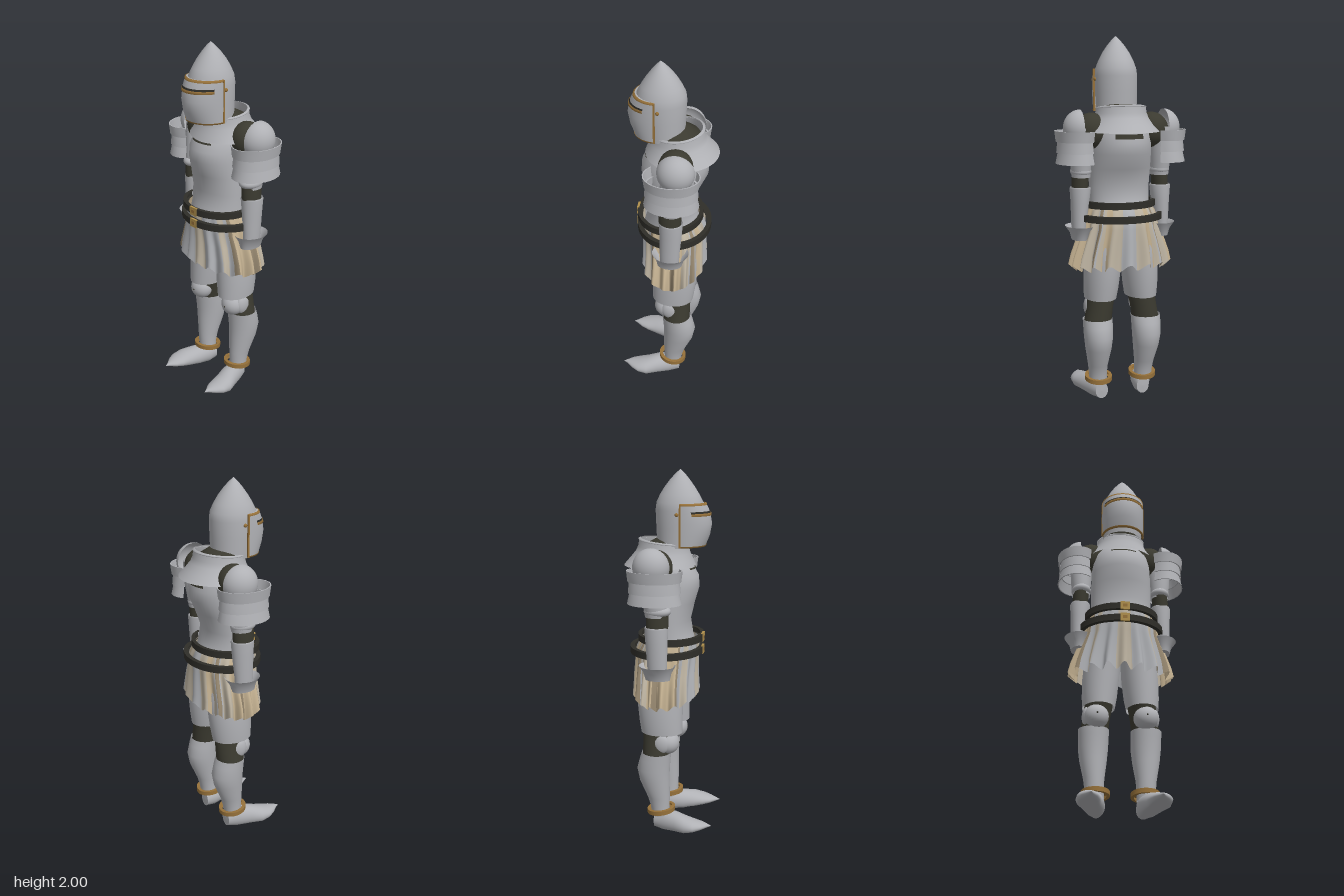
import * as THREE from 'three';

const RAD = Math.PI / 180;
const mat = (name, color) => {
  const m = new THREE.MeshStandardMaterial({ color, side: THREE.DoubleSide });
  m.name = name;
  return m;
};

// Skin over elliptical rings [y, cx, cz, rx, rz, tilt], listed bottom-up.
// Angle 0 faces front (+z), 90 faces +x. warp() may move a point, slot() picks a material group.
function loft(rings, { n = 36, from = 0, to = 360, warp, slot } = {}) {
  const pos = [], faces = [[], [], [], []];
  const closed = to - from === 360, cols = closed ? n : n + 1;
  rings.forEach(([y, cx, cz, rx, rz, tilt = 0], i) => {
    for (let j = 0; j < cols; j++) {
      const t = (from + (to - from) * j / n) * RAD;
      const p = new THREE.Vector3(cx + rx * Math.sin(t), y + tilt * Math.cos(t), cz + rz * Math.cos(t));
      if (warp) warp(p, t, i);
      pos.push(p.x, p.y, p.z);
    }
  });
  for (let i = 0; i < rings.length - 1; i++) {
    for (let j = 0; j < n; j++) {
      const k = (j + 1) % cols, a = i * cols + j, b = i * cols + k;
      const list = faces[slot ? slot((from + (to - from) * (j + 0.5) / n) * RAD) : 0];
      list.push(a, b, b + cols, a, b + cols, a + cols);
    }
  }
  const g = new THREE.BufferGeometry();
  g.setAttribute('position', new THREE.Float32BufferAttribute(pos, 3));
  g.setIndex(faces.flat());
  if (slot) {
    let start = 0;
    faces.forEach((f, i) => { g.addGroup(start, f.length, i); start += f.length; });
  }
  g.computeVertexNormals();
  return g;
}

// Flat strap with square edges (doubled rings keep the corners sharp)
function strap(y, cx, cz, rx, rz, h, th, tilt = 0) {
  const ring = (dy, d) => [y + dy, cx, cz, rx - d, rz - d, tilt];
  const a = ring(-h / 2, th), b = ring(-h / 2, 0), c = ring(h / 2, 0), d = ring(h / 2, th);
  return loft([a, b, b, c, c, d]);
}

const ball = (x, y, z, rx, ry, rz, p0 = 0, pl = Math.PI * 2) =>
  new THREE.SphereGeometry(1, 28, 18, p0, pl).scale(rx, ry, rz).translate(x, y, z);
const box = (x, y, z, w, h, d) => new THREE.BoxGeometry(w, h, d).translate(x, y, z);

function mirrorX(geo) {
  const g = geo.clone().scale(-1, 1, 1), ix = g.index.array;
  for (let i = 0; i < ix.length; i += 3) [ix[i], ix[i + 1]] = [ix[i + 1], ix[i]];
  return g;
}

export function createModel() {
  const steel = mat('steel', 0xb0b1b5), mail = mat('dark mail', 0x3b3a30);
  const leather = mat('belt leather', 0x2f2e29), brass = mat('brass', 0x96713a);
  const gold = mat('buckle gold', 0xb0904c), cloth = mat('grey cloth', 0xb2b4b8);
  const cream = mat('cream cloth', 0xbfb5a3), tan = mat('tan cloth', 0xc5b292);
  const brown = mat('brown cloth', 0x978870);

  const root = new THREE.Group();
  const add = (name, geo, m) => {
    const mesh = new THREE.Mesh(geo, m);
    mesh.name = name;
    root.add(mesh);
  };
  const pair = (name, geo, m) => {
    add(name + 'Left', geo, m);
    add(name + 'Right', mirrorX(geo), m);
  };

  // Helmet with pointed skull
  add('helmetBowl', loft([
    [1.595, 0, 0.03, 0.11, 0.108], [1.7, 0, 0.036, 0.114, 0.119], [1.79, 0, 0.041, 0.115, 0.128],
    [1.83, 0, 0.042, 0.109, 0.124], [1.87, 0, 0.041, 0.094, 0.104], [1.91, 0, 0.041, 0.074, 0.079],
    [1.95, 0, 0.042, 0.047, 0.049], [1.98, 0, 0.044, 0.022, 0.022], [2, 0, 0.045, 0, 0]]), steel);

  // Visor, its eye slit and flat brass trim
  const front = { from: -90, to: 90 }, slit = { from: -66, to: 66 };
  add('visor', loft([
    [1.603, 0, 0.062, 0.117, 0.118], [1.66, 0, 0.062, 0.119, 0.141], [1.72, 0, 0.062, 0.12, 0.152],
    [1.78, 0, 0.062, 0.12, 0.141], [1.823, 0, 0.062, 0.118, 0.12], [1.823, 0, 0.062, 0.118, 0.12],
    [1.828, 0, 0.062, 0.1, 0.1]], front), steel);
  add('eyeSlit', loft([[1.777, 0, 0.062, 0.121, 0.1435], [1.787, 0, 0.062, 0.121, 0.139]], slit), leather);
  add('slitTrim', loft([[1.763, 0, 0.062, 0.118, 0.142], [1.763, 0, 0.062, 0.123, 0.149],
    [1.777, 0, 0.062, 0.123, 0.147], [1.777, 0, 0.062, 0.118, 0.138]], slit), brass);
  add('visorTopTrim', loft([[1.817, 0, 0.062, 0.119, 0.124], [1.825, 0, 0.062, 0.12, 0.122],
    [1.829, 0, 0.062, 0.112, 0.113]], front), brass);
  add('visorBottomTrim', loft([[1.6, 0, 0.062, 0.112, 0.112], [1.601, 0, 0.062, 0.119, 0.12],
    [1.609, 0, 0.062, 0.12, 0.123]], front), brass);
  pair('visorSideTrim', box(0.117, 1.714, 0.063, 0.011, 0.226, 0.009), brass);
  pair('visorPivot', ball(0.116, 1.772, 0.045, 0.008, 0.01, 0.01), brass);

  // Neck and gorget
  add('neckMail', loft([[1.54, 0, -0.045, 0.13, 0.126], [1.6, 0, -0.04, 0.122, 0.118],
    [1.63, 0, -0.01, 0.095, 0.09], [1.66, 0, 0.02, 0.07, 0.07]]), mail);
  add('gorget', loft([[1.496, 0, -0.066, 0.202, 0.193], [1.53, 0, -0.056, 0.172, 0.17, -0.004],
    [1.565, 0, -0.048, 0.149, 0.147, -0.006], [1.59, 0, -0.045, 0.139, 0.138, -0.008],
    [1.622, 0, -0.044, 0.134, 0.132, -0.014]], { n: 48 }), steel);
  add('gorgetRim', loft([[1.617, 0, -0.044, 0.134, 0.133, -0.014], [1.624, 0, -0.044, 0.138, 0.138, -0.014],
    [1.628, 0, -0.044, 0.126, 0.124, -0.014]], { n: 48 }), steel);

  // Cuirass with narrow gaps under the gorget
  add('cuirass', loft([
    [1.05, 0, -0.015, 0.172, 0.152], [1.12, 0, -0.015, 0.166, 0.13], [1.2, 0, -0.012, 0.169, 0.114],
    [1.3, 0, -0.021, 0.17, 0.146], [1.38, 0, -0.028, 0.168, 0.177], [1.44, 0, -0.032, 0.166, 0.177],
    [1.5, 0, -0.042, 0.156, 0.154], [1.54, 0, -0.05, 0.13, 0.125]], { n: 48 }), steel);
  add('chestGap', loft([[1.48, 0, -0.037, 0.163, 0.1655], [1.489, 0, -0.038, 0.161, 0.162]],
    { from: -26, to: 26 }), mail);
  add('backGap', loft([[1.463, 0, -0.036, 0.166, 0.1705], [1.488, 0, -0.04, 0.162, 0.161]],
    { from: 152, to: 208 }), mail);

  // Belts and buckles
  add('upperBelt', strap(1.105, 0, -0.005, 0.205, 0.18, 0.036, 0.02), leather);
  add('lowerBelt', strap(1.036, 0, -0.027, 0.235, 0.202, 0.036, 0.024), leather);
  [1.105, 1.036].forEach((y, i) => {
    add('buckle' + i, box(0, y, 0.172, 0.05, 0.046, 0.012), gold);
    add('buckleInset' + i, box(0, y, 0.176, 0.024, 0.018, 0.006), brass);
  });

  // Pleated skirt in four cloth colours; the pleats deepen towards the hem
  const pleat = [0.08, 0.07, 0.055, 0.035, 0.018, 0];
  add('skirt', loft([
    [0.77, 0, -0.03, 0.272, 0.17], [0.83, 0, -0.03, 0.262, 0.168], [0.91, 0, -0.03, 0.237, 0.168],
    [0.98, 0, -0.027, 0.212, 0.17], [1.04, 0, -0.024, 0.205, 0.172], [1.095, 0, -0.012, 0.182, 0.158]], {
    n: 180,
    warp: (p, t, i) => {
      const k = 1 + pleat[i] * Math.cos(18 * t + 0.9 * Math.sin(3 * t));
      p.x *= k;
      p.z = -0.025 + (p.z + 0.025) * k;
      if (i === 0) p.y += 0.018 * Math.cos(18 * t + 0.9 * Math.sin(3 * t)) - 0.012 * Math.sin(t) ** 2;
    },
    slot: t => {
      const a = Math.abs(t > Math.PI ? t - 2 * Math.PI : t) / RAD;
      const streak = Math.sin(a * 0.17 + 1) + 0.6 * Math.sin(a * 0.31);
      if (a > 55 && a < 112) return streak < -1.1 ? 3 : 2;
      if (a < 55) return streak > 0.4 ? 1 : 0;
      return streak > 0.6 ? 2 : streak < -1.2 ? 3 : streak > -0.5 ? 1 : 0;
    },
  }), [cloth, cream, tan, brown]);

  // Shoulders: mail slopes out from the collar to a half-domed pauldron
  pair('shoulderMail', ball(0.17, 1.502, -0.055, 0.095, 0.096, 0.09), mail);
  pair('pauldron', ball(0.235, 1.515, -0.065, 0.09, 0.1, 0.097, Math.PI / 2, Math.PI), steel);
  // Overlapping lames, each tucked under the one above
  [[1.446, 1.503, 0.108, 0.115], [1.388, 1.452, 0.106, 0.099], [1.33, 1.394, 0.111, 0.097]]
    .forEach(([y0, y1, r0, r1], i) => pair('shoulderLame' + i, loft([
      [y0, 0.249, -0.045, r0 - 0.006, r0 + 0.026], [y0, 0.249, -0.045, r0, r0 + 0.032],
      [y0, 0.249, -0.045, r0, r0 + 0.032], [y1, 0.249, -0.045, r1, r1 + 0.032],
      [y1, 0.249, -0.045, r1, r1 + 0.032], [y1, 0.249, -0.045, r1 - 0.006, r1 + 0.026]],
      { from: -38, to: 216, n: 18 }), steel));

  // Arms
  pair('upperArm', loft([[1.255, 0.224, -0.04, 0.05, 0.06], [1.33, 0.226, -0.045, 0.056, 0.066],
    [1.42, 0.226, -0.055, 0.062, 0.072], [1.52, 0.225, -0.06, 0.055, 0.07]]), steel);
  pair('elbowGuard', ball(0.224, 1.285, -0.035, 0.056, 0.035, 0.072), steel);
  pair('elbowMail', loft([[1.16, 0.229, -0.035, 0.043, 0.054], [1.22, 0.229, -0.035, 0.044, 0.06],
    [1.28, 0.226, -0.035, 0.044, 0.06]]), mail);
  pair('forearm', loft([[0.92, 0.235, -0.034, 0.036, 0.05], [1, 0.237, -0.035, 0.04, 0.053],
    [1.12, 0.231, -0.039, 0.05, 0.059], [1.195, 0.229, -0.04, 0.057, 0.063],
    [1.203, 0.229, -0.04, 0.053, 0.06]]), steel);
  pair('gauntletCuff', loft([[0.912, 0.232, -0.033, 0, 0], [0.916, 0.232, -0.033, 0.043, 0.066],
    [0.916, 0.232, -0.033, 0.043, 0.066], [0.955, 0.229, -0.035, 0.056, 0.076],
    [0.992, 0.226, -0.037, 0.086, 0.098]]), steel);

  // Legs
  pair('thighPlate', loft([[0.582, 0.118, -0.035, 0.087, 0.114], [0.65, 0.114, -0.04, 0.095, 0.12],
    [0.75, 0.108, -0.045, 0.1, 0.126], [0.86, 0.1, -0.045, 0.098, 0.127], [1, 0.09, -0.03, 0.085, 0.12]]), steel);
  pair('kneeMail', loft([[0.45, 0.14, -0.06, 0.076, 0.076], [0.53, 0.128, -0.057, 0.073, 0.08],
    [0.6, 0.117, -0.045, 0.076, 0.092]]), mail);
  pair('kneeCap', ball(0.132, 0.526, 0, 0.066, 0.066, 0.066), steel);
  pair('kneeRivet', ball(0.132, 0.528, 0.065, 0.005, 0.005, 0.004), mail);
  pair('kneeWing', ball(0.182, 0.53, -0.025, 0.026, 0.055, 0.046), steel);
  pair('greave', loft([[0.09, 0.134, -0.04, 0.05, 0.05], [0.14, 0.135, -0.042, 0.05, 0.053],
    [0.2, 0.137, -0.05, 0.055, 0.063], [0.3, 0.14, -0.072, 0.072, 0.084], [0.37, 0.141, -0.078, 0.08, 0.091],
    [0.43, 0.141, -0.068, 0.082, 0.086], [0.47, 0.141, -0.06, 0.083, 0.081]]), steel);
  pair('ankleBand', strap(0.12, 0.13, -0.037, 0.076, 0.078, 0.024, 0.018, 0.01), brass);

  // Pointed shoe: lofted along its length, then laid down with a flat rising sole
  const shoe = loft([
    [-0.078, 0.122, -0.05, 0, 0], [-0.076, 0.122, -0.05, 0.036, 0.045], [-0.076, 0.122, -0.05, 0.036, 0.045],
    [-0.02, 0.132, -0.055, 0.052, 0.062], [0.05, 0.152, -0.055, 0.06, 0.06], [0.11, 0.175, -0.053, 0.064, 0.05],
    [0.16, 0.18, -0.055, 0.058, 0.034], [0.2, 0.177, -0.058, 0.04, 0.021], [0.235, 0.175, -0.06, 0.012, 0.01],
    [0.257, 0.175, -0.06, 0, 0]]).rotateX(Math.PI / 2);
  const p = shoe.attributes.position;
  for (let i = 0; i < p.count; i++) p.setY(i, Math.max(p.getY(i), 0.15 * Math.max(0, p.getZ(i) + 0.078)));
  shoe.computeVertexNormals();
  pair('shoe', shoe, steel);

  return root;
}
